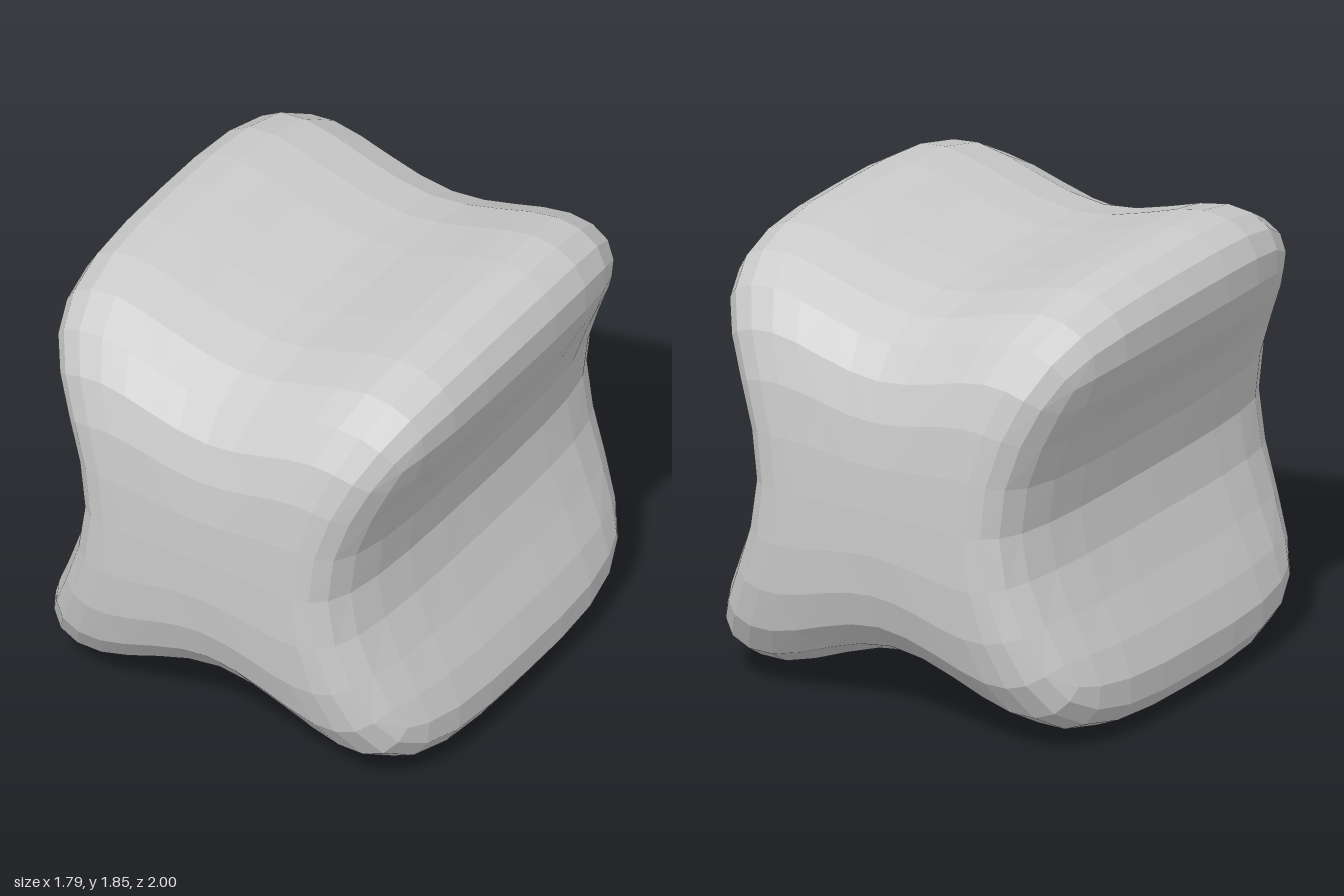
import * as THREE from 'three';

const V = (x, y, z) => new THREE.Vector3(x, y, z);

// Coarse cage: a twelve-point star section at three depths, with capped ends
function buildCage() {
  const right = [[0.46, 0.9275], [1.02, 1.65], [0.66, 1.97]];
  const lowRight = [[0.657, -0.122], [1.06, 0.16]];
  const flip = (pts) => pts.map(([x, y]) => [-x, y]).reverse();
  const ring = [...right, [0, 1.581], ...flip(right), ...flip(lowRight), [0, 0.344], ...lowRight];
  const n = ring.length;
  const verts = [], faces = [];
  for (const z of [1, 0, -1]) for (const [x, y] of ring) verts.push(V(x, y, z));

  // side walls
  for (let k = 0; k < 2; k++) {
    for (let i = 0; i < n; i++) {
      const j = (i + 1) % n;
      faces.push([k * n + i, (k + 1) * n + i, (k + 1) * n + j, k * n + j]);
    }
  }
  // front and back caps: a middle row of three points joined to the ring by quads
  for (const z of [1, -1]) {
    const a = verts.push(V(0.23, 0.9275, z), V(0, 0.9275, z), V(-0.23, 0.9275, z)) - 3;
    const c = a + 1, b = a + 2;
    const r = (i) => (z > 0 ? i : 2 * n + i);
    const cap = [
      [a, r(0), r(1), r(2)], [c, a, r(2), r(3)], [c, r(3), r(4), b], [b, r(4), r(5), r(6)],
      [b, r(6), r(7), r(8)], [c, b, r(8), r(9)], [c, r(9), r(10), a], [a, r(10), r(11), r(0)],
    ];
    faces.push(...(z > 0 ? cap : cap.map((f) => f.reverse())));
  }
  return { verts, faces };
}

// For every vertex: its valence and the sum of its edge neighbours
function neighbours({ verts, faces }) {
  const info = verts.map(() => ({ n: 0, edge: V(0, 0, 0), face: V(0, 0, 0) }));
  for (const f of faces) {
    f.forEach((v, i) => {
      info[v].n++;
      info[v].edge.add(verts[f[(i + 1) % 4]]);
    });
  }
  return info;
}

// One step of smooth subdivision into quads
function subdivide(mesh) {
  const { verts, faces } = mesh;
  const info = neighbours(mesh);
  const centres = faces.map((f) => {
    const c = V(0, 0, 0);
    f.forEach((v) => c.addScaledVector(verts[v], 0.25));
    f.forEach((v) => info[v].face.add(c));
    return c;
  });
  // moved corners: (F + 2R + (n - 3)v) / n
  const out = verts.map((v, i) => {
    const { n, edge, face } = info[i];
    return v.clone().multiplyScalar((n - 2) / n)
      .addScaledVector(edge, 1 / (n * n)).addScaledVector(face, 1 / (n * n));
  });
  const edgeIds = new Map();
  const edgePoint = (a, b, centre) => {
    const key = Math.min(a, b) + '_' + Math.max(a, b);
    if (!edgeIds.has(key)) {
      edgeIds.set(key, out.push(verts[a].clone().add(verts[b]).multiplyScalar(0.25)) - 1);
    }
    const id = edgeIds.get(key);
    out[id].addScaledVector(centre, 0.25);
    return id;
  };
  const quads = [];
  faces.forEach((f, k) => {
    const mids = f.map((v, i) => edgePoint(v, f[(i + 1) % 4], centres[k]));
    const c = out.push(centres[k]) - 1;
    f.forEach((v, i) => quads.push([v, mids[i], c, mids[(i + 3) % 4]]));
  });
  return { verts: out, faces: quads };
}

// Settle the vertices on the smooth limit surface
function toLimit(mesh) {
  const { verts, faces } = mesh;
  const info = neighbours(mesh);
  for (const f of faces) f.forEach((v, i) => info[v].face.add(verts[f[(i + 2) % 4]]));
  const moved = verts.map((v, i) => {
    const { n, edge, face } = info[i];
    return v.clone().multiplyScalar(n * n).addScaledVector(edge, 4).add(face)
      .divideScalar(n * (n + 5));
  });
  return { verts: moved, faces };
}

export function createModel() {
  const group = new THREE.Group();
  group.name = 'pinchedCushion';

  const { verts, faces } = toLimit(subdivide(subdivide(buildCage())));
  const geometry = new THREE.BufferGeometry().setFromPoints(verts);
  geometry.setIndex(faces.flatMap(([a, b, c, d]) => [a, b, c, a, c, d]));
  geometry.computeVertexNormals();

  const body = new THREE.Mesh(
    geometry,
    new THREE.MeshStandardMaterial({ color: 0xcccccc, flatShading: true })
  );
  body.name = 'cushionBody';
  group.add(body);
  return group;
}
